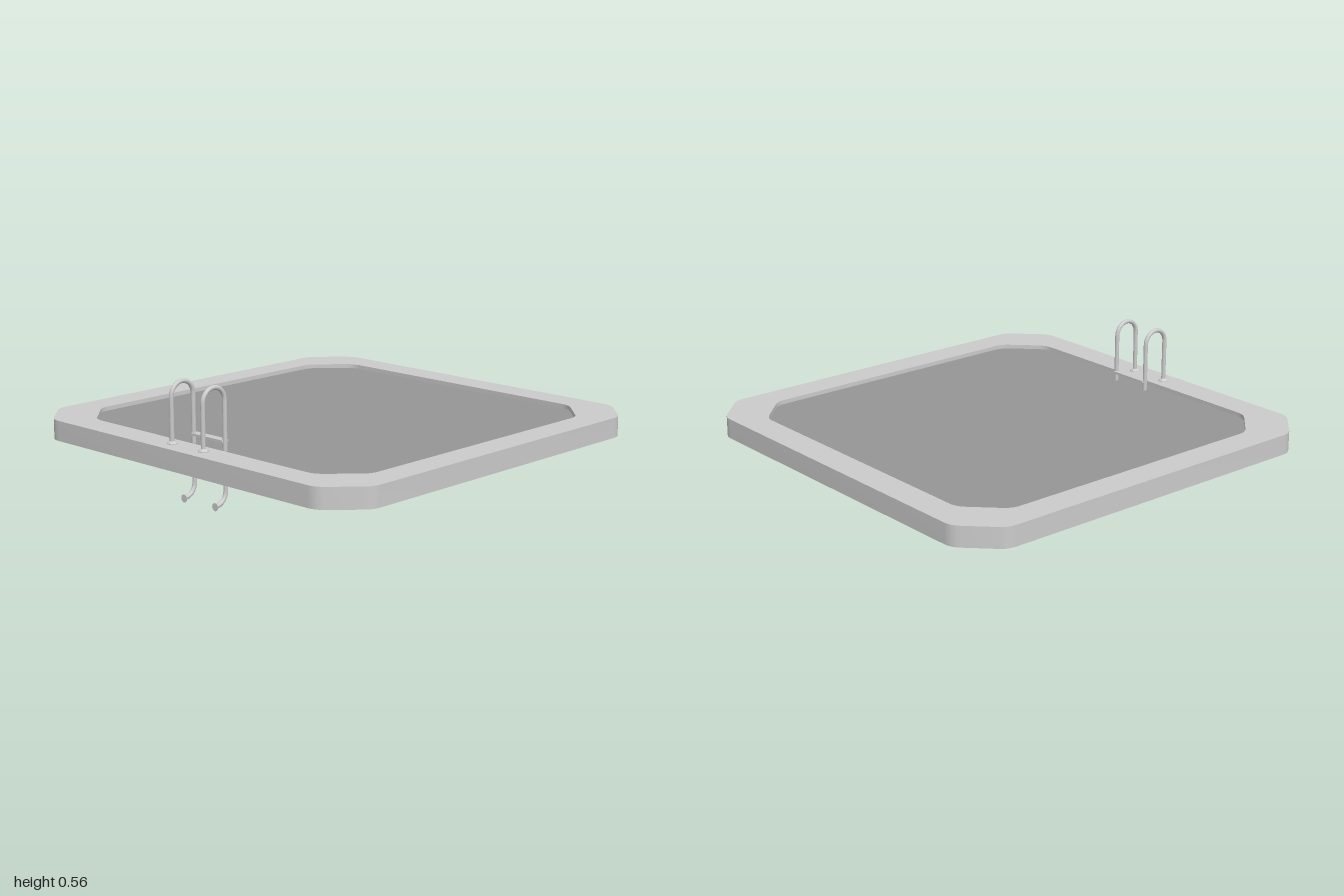
import * as THREE from 'three';
import { toCreasedNormals } from 'three/addons/utils/BufferGeometryUtils.js';

const grey = new THREE.MeshStandardMaterial({ color: 0xcccccc });
const waterGrey = new THREE.MeshStandardMaterial({ color: 0x969696 });

function add(parent, name, geometry, material = grey) {
  const mesh = new THREE.Mesh(geometry, material);
  mesh.name = name;
  parent.add(mesh);
  return mesh;
}

// Square outline with cut corners, each bend softened by a small curve
function trace(path, half, cut, soft = 0.04) {
  const c = half - cut;
  const corners = [
    [half, -c], [half, c], [c, half], [-c, half],
    [-half, c], [-half, -c], [-c, -half], [c, -half],
  ].map(([x, y]) => new THREE.Vector2(x, y));
  corners.forEach((p, i) => {
    const toward = (q) => q.clone().sub(p).setLength(soft).add(p);
    const a = toward(corners[(i + 7) % 8]);
    const b = toward(corners[(i + 1) % 8]);
    if (i === 0) path.moveTo(a.x, a.y);
    else path.lineTo(a.x, a.y);
    path.quadraticCurveTo(p.x, p.y, b.x, b.y);
  });
  path.closePath();
  return path;
}

function slab(shape, y0, y1) {
  const g = new THREE.ExtrudeGeometry(shape, { depth: y1 - y0, bevelEnabled: false, curveSegments: 6 });
  g.rotateX(-Math.PI / 2).translate(0, y0, 0);
  return toCreasedNormals(g, 0.5);
}

// Centre line of one handrail in the plane x = 0
function railCurve() {
  const pts = [];
  const push = (z, y) => pts.push(new THREE.Vector3(0, y, z));
  for (const y of [0.275, 0.35, 0.42, 0.47]) push(0.924, y);
  for (let i = 0; i <= 12; i++) {
    const a = (i / 12) * Math.PI;
    push(0.861 + 0.063 * Math.cos(a), 0.483 + 0.063 * Math.sin(a));
  }
  for (const y of [0.47, 0.4, 0.3, 0.2, 0.12, 0.09]) push(0.798, y);
  for (let i = 0; i <= 6; i++) {
    const a = Math.PI + (i / 6) * Math.PI / 2;
    push(0.858 + 0.06 * Math.cos(a), 0.08 + 0.06 * Math.sin(a));
  }
  return new THREE.CatmullRomCurve3(pts, false, 'centripetal');
}

export function createModel() {
  const model = new THREE.Group();
  model.name = 'pool';

  // Deck rim around the basin
  const rim = trace(new THREE.Shape(), 1, 0.165);
  rim.holes.push(trace(new THREE.Path(), 0.86, 0.165));
  add(model, 'rim', slab(rim, 0.182, 0.277));

  // Water filling the basin, its underside closing the base
  add(model, 'water', slab(trace(new THREE.Shape(), 0.86, 0.165), 0.182, 0.257), waterGrey);

  // Ladder with two hooked rails
  const ladder = new THREE.Group();
  ladder.name = 'ladder';
  model.add(ladder);
  const curve = railCurve();
  for (const [side, x] of [['left', 0.1], ['right', -0.1]]) {
    const rail = new THREE.Group();
    rail.name = side + 'Rail';
    rail.position.x = x;
    ladder.add(rail);
    add(rail, 'rail', new THREE.TubeGeometry(curve, 100, 0.0105, 12));

    // Flared collar on the deck
    const profile = [[0, 0], [0.023, 0], [0.023, 0.004], [0.013, 0.014], [0, 0.014]];
    const collar = new THREE.LatheGeometry(profile.map(([r, y]) => new THREE.Vector2(r, y)), 20);
    add(rail, 'collar', toCreasedNormals(collar, 0.5)).position.set(0, 0.276, 0.924);

    // Foot pad that rests against the wall
    const foot = new THREE.CylinderGeometry(0.018, 0.013, 0.008, 20).rotateX(Math.PI / 2);
    add(rail, 'footPad', foot).position.set(0, 0.018, 0.858);
  }

  // Flat step between the rails
  add(ladder, 'step', new THREE.BoxGeometry(0.2, 0.011, 0.038)).position.set(0, 0.3, 0.797);

  return model;
}
